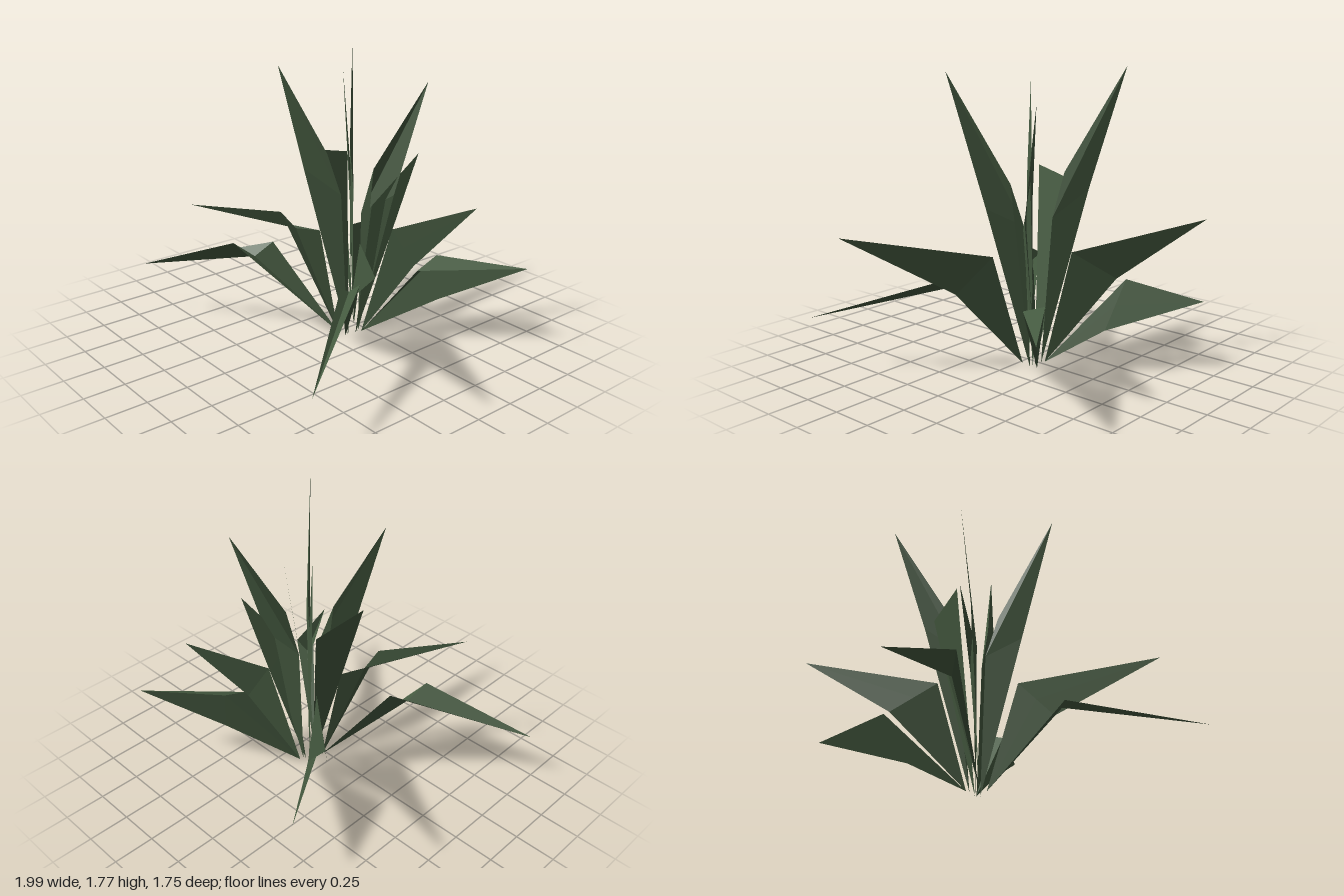
import * as THREE from 'three';

const V = (p) => new THREE.Vector3(...p);

export function createModel() {
  const plant = new THREE.Group();
  plant.name = 'spikyPlant';
  const leafGreen = new THREE.MeshStandardMaterial({ color: 0x455a40, side: THREE.DoubleSide, flatShading: true });
  leafGreen.name = 'leafGreen';

  // One blade: four facets folded along a rib from root through fold to tip.
  // Without a tip it is a plain wedge; without a fold it is flat.
  function addLeaf(name, root, left, right, tip, fold) {
    const r = V(root), a = V(left), b = V(right);
    const f = fold ? V(fold) : a.clone().lerp(b, 0.5);
    const faces = tip
      ? [r, a, f, r, f, b, f, a, V(tip), f, V(tip), b]
      : [r, a, b];
    const geometry = new THREE.BufferGeometry().setFromPoints(faces);
    geometry.computeVertexNormals();
    const leaf = new THREE.Mesh(geometry, leafGreen);
    leaf.name = name;
    plant.add(leaf);
  }

  // Root positions of the four clumps
  const frontLeft = [0.11, 0.03, -0.06], frontRight = [0.05, 0.04, -0.05];
  const backLeft = [0.12, 0.03, -0.18], backRight = [0.05, 0.05, -0.18];

  // Low, drooping outer leaves
  addLeaf('lowLeafFrontLeft', frontLeft, [0.44, 0.55, 0.26], [0.52, 0.58, 0.19], [0.95, 0.32, 0.87], [0.45, 0.52, 0.21]);
  addLeaf('lowLeafFrontRight', frontRight, [-0.40, 0.60, 0.40], [-0.31, 0.58, 0.17], [-1.0, 0.35, 0.69], [-0.35, 0.5, 0.28]);
  addLeaf('lowLeafBackLeft', backLeft, [0.47, 0.28, -0.48], [0.43, 0.49, -0.34], [0.87, 0.52, -0.81], [0.43, 0.55, -0.5]);
  addLeaf('lowLeafBackRight', backRight, [-0.34, 0.53, -0.48], [-0.19, 0.24, -0.44], [-0.56, 0.42, -0.88]);

  // Middle leaves
  addLeaf('middleLeafFrontLeft', frontLeft, [0.30, 0.71, 0.0], [0.45, 0.49, 0.15], [0.99, 0.865, 0.51]);
  addLeaf('middleLeafFrontRight', frontRight, [-0.17, 0.82, 0.21], [-0.05, 0.69, 0.01], [-0.52, 0.86, 0.61], [-0.13, 0.71, 0.13]);
  addLeaf('middleLeafBackLeft', backLeft, [0.27, 0.72, -0.28], [0.38, 0.5, -0.36], [0.64, 0.88, -0.6]);
  addLeaf('middleLeafBackRight', backRight, [-0.11, 0.70, -0.25], [-0.34, 0.52, -0.41], [-0.73, 0.87, -0.78]);

  // Tall upright leaves, folded toward the centre
  addLeaf('tallLeafFrontLeft', [0.10, 0.01, -0.11], [0.18, 1.12, -0.03], [0.29, 0.98, 0.06], [0.42, 1.755, 0.235], [0.12, 0.87, -0.08]);
  addLeaf('tallLeafFrontRight', [0.07, 0.01, -0.11], [-0.02, 1.17, -0.02], [-0.10, 1.08, 0.09], [-0.23, 1.68, 0.17], [0.05, 0.92, -0.07]);
  addLeaf('tallLeafBackLeft', [0.11, 0.03, -0.16], [0.21, 1.1, -0.18], [0.31, 0.95, -0.25], [0.40, 1.61, -0.41], [0.14, 0.82, -0.15]);
  addLeaf('tallLeafBackRight', [0.06, 0.04, -0.16], [-0.06, 1.18, -0.23], [-0.16, 1.08, -0.33], [-0.32, 1.78, -0.47], [0.01, 0.92, -0.2]);

  // Short inner leaves
  addLeaf('shortLeafBackLeft', [0.11, 0.02, -0.14], [0.22, 0.88, -0.16], [0.27, 0.69, -0.27], [0.39, 1.2, -0.36]);
  addLeaf('bluntInnerLeaf', [0.07, 0.01, -0.12], [-0.18, 1.18, 0.06], [-0.13, 1.115, -0.27]);

  return plant;
}
